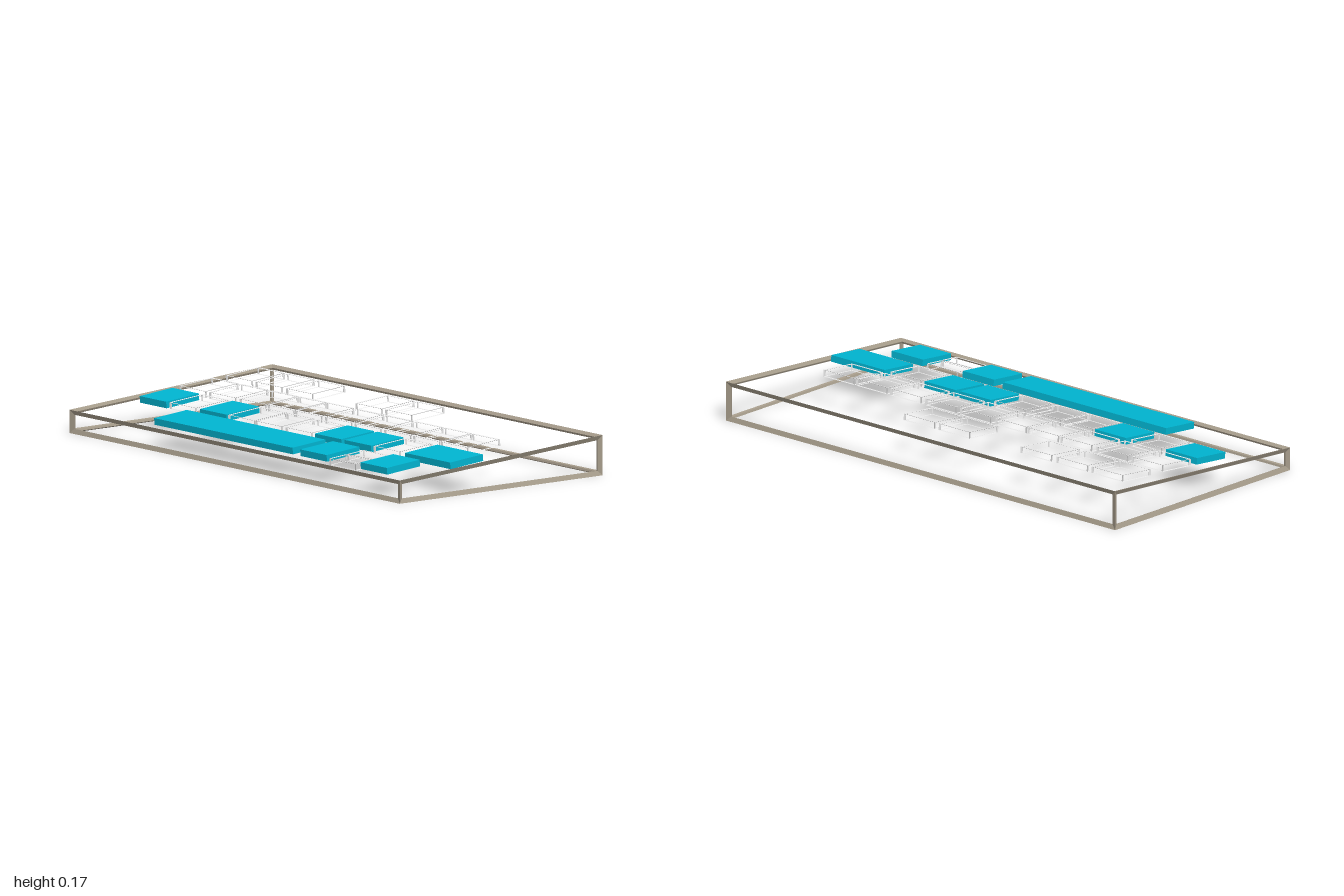
import * as THREE from 'three';

const material = (name, color) => {
  const m = new THREE.MeshStandardMaterial({ color });
  m.name = name;
  return m;
};
const frameGrey = material('frameGrey', 0xa49a89);
const keyTeal = material('keyTeal', 0x00b4d0);
const keyWhite = material('keyWhite', 0xe8e8e8);

// Open cage of twelve mitred, diamond-section bars.
// place(signs, inset) maps a corner and its inward offset per axis to a point.
function cageGeometry(place, scale) {
  const FACE = 0.008, SIDE = 0.019, INNER = 0.016;
  const point = (signs, kind) => {
    const inset = [0, 1, 2].map((axis) => {
      if (kind === 'outer') return 0;
      if (kind === 'inner') return INNER * scale[axis];
      return (axis === kind ? FACE : SIDE) * scale[axis];
    });
    return place(signs, inset);
  };
  const pos = [];
  for (let a = 0; a < 3; a++) {
    const b = (a + 1) % 3, c = (a + 2) % 3;
    const ring = ['outer', b, 'inner', c];
    for (const sb of [-1, 1]) for (const sc of [-1, 1]) {
      const start = [], end = [];
      start[a] = -1; end[a] = 1;
      start[b] = end[b] = sb;
      start[c] = end[c] = sc;
      for (let k = 0; k < 4; k++) {
        const p = point(start, ring[k]), q = point(end, ring[k]);
        const r = point(end, ring[(k + 1) % 4]), s = point(start, ring[(k + 1) % 4]);
        const quad = sb * sc > 0 ? [p, q, r, p, r, s] : [p, r, q, p, s, r];
        quad.forEach((v) => pos.push(...v));
      }
    }
  }
  const g = new THREE.BufferGeometry();
  g.setAttribute('position', new THREE.Float32BufferAttribute(pos, 3));
  g.computeVertexNormals();
  return g;
}

// Wedge-shaped case: low at the front, high at the back
function caseGeometry() {
  return cageGeometry((s, o) => {
    const z = s[2] * (0.497 - o[2]);
    const top = 0.123 - 0.0663 * z;
    return [s[0] * (1 - o[0]), s[1] < 0 ? o[1] : top - o[1], z];
  }, [1.1, 0.95, 0.95]);
}

// Bars get finer as the key gets shallower
function openKeyGeometry(w, h, d) {
  const half = [w / 2, h / 2, d / 2];
  return cageGeometry((s, o) => s.map((v, i) => v * (half[i] - o[i])), [0.38, 0.1, 2.4 * d]);
}

export function createModel() {
  const model = new THREE.Group();
  const add = (geometry, mat, name) => {
    const mesh = new THREE.Mesh(geometry, mat);
    mesh.name = name;
    model.add(mesh);
    return mesh;
  };

  add(caseGeometry(), frameGrey, 'caseFrame');

  const HEIGHT = 0.026, TILT = 0.088, DEPTH = 0.161;
  const addKey = (x, z, top, w, d, solid, name) => {
    const g = solid ? new THREE.BoxGeometry(w, HEIGHT, d) : openKeyGeometry(w, HEIGHT, d);
    const key = add(g, solid ? keyTeal : keyWhite, name);
    key.position.set(x, top - HEIGHT / 2, z);
    key.rotation.x = TILT;
  };

  // Rows of keys: left edges, with the solid ones listed by index
  const rows = [
    { z: -0.285, top: 0.163, left: [-0.92, -0.74, -0.555, -0.135, 0.045], solid: [] },
    { z: -0.058, top: 0.148, left: [-0.92, -0.74, -0.555, -0.385, -0.22, -0.038, 0.14, 0.32, 0.495, 0.663], solid: [] },
    { z: 0.136, top: 0.13, left: [-0.92, -0.74, -0.555, -0.385, -0.22, -0.038, 0.14, 0.32, 0.495], solid: [0, 2, 6, 7] },
    { z: 0.355, top: 0.118, left: [0.322, 0.687], solid: [0, 1] },
  ];
  rows.forEach((row) => row.left.forEach((x, i) => {
    const solid = row.solid.includes(i);
    addKey(x + 0.08, row.z, row.top, 0.16, DEPTH, solid, solid ? 'solidKey' : 'openKey');
  }));

  // Wide keys
  addKey(0.822, 0.136, 0.13, 0.274, DEPTH, true, 'enterKey');
  addKey(-0.143, 0.355, 0.118, 0.838, DEPTH, true, 'spaceBar');

  // Stacked half-height arrow keys
  addKey(0.584, 0.312, 0.112, 0.16, 0.08, false, 'upKey');
  addKey(0.584, 0.4, 0.105, 0.16, 0.08, false, 'downKey');

  return model;
}
